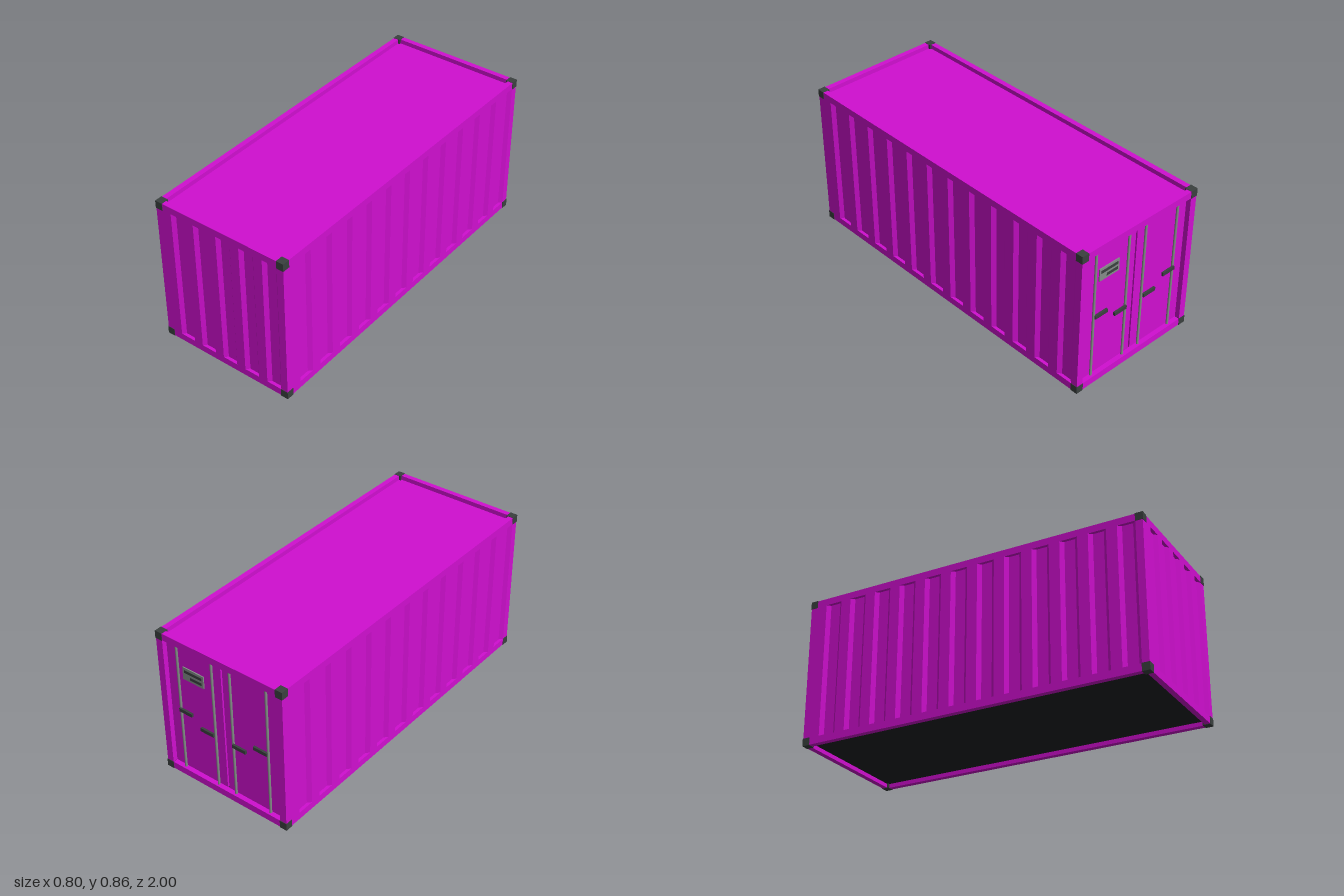
import * as THREE from 'three';

const W = 0.398, L = 0.998, H = 0.855; // half width, half length, height of the frame
const POST = 0.04, RAIL = 0.03, Y0 = 0.042, Y1 = 0.814;

export function createModel() {
  const model = new THREE.Group();
  model.name = 'shippingContainer';
  const mat = (name, color) => {
    const m = new THREE.MeshStandardMaterial({ color });
    m.name = name;
    return m;
  };
  const paint = mat('magenta paint', 0xd00fd0);
  const iron = mat('dark iron', 0x3a403f);
  const underside = mat('black floor', 0x1f2324);
  const metal = mat('grey metal', 0x858c89);

  const add = (name, geometry, material, x = 0, y = 0, z = 0) => {
    const mesh = new THREE.Mesh(geometry, material);
    mesh.name = name;
    mesh.position.set(x, y, z);
    model.add(mesh);
    return mesh;
  };
  // box given by its lowest and highest corners
  const box = (name, material, x0, x1, y0, y1, z0, z1) =>
    add(name, new THREE.BoxGeometry(x1 - x0, y1 - y0, z1 - z0), material,
      (x0 + x1) / 2, (y0 + y1) / 2, (z0 + z1) / 2);

  // corner castings and posts
  for (const sx of [-1, 1]) {
    for (const sz of [-1, 1]) {
      for (const y of [0.0215, H - 0.0215]) {
        add('cornerCasting', new THREE.BoxGeometry(0.043, 0.043, 0.043), iron,
          sx * 0.3785, y, sz * 0.9785);
      }
      add('cornerPost', new THREE.BoxGeometry(POST, H - 0.08, POST), paint,
        sx * (W - POST / 2), H / 2, sz * (L - POST / 2));
    }
  }

  // top and bottom rails
  for (const [y0, y1] of [[0.002, Y0], [Y1, H - 0.002]]) {
    for (const s of [-1, 1]) {
      add('sideRail', new THREE.BoxGeometry(RAIL, y1 - y0, 2 * L - 0.08), paint,
        s * (W - RAIL / 2), (y0 + y1) / 2, 0);
      add('endRail', new THREE.BoxGeometry(2 * W - 0.08, y1 - y0, RAIL), paint,
        0, (y0 + y1) / 2, s * (L - RAIL / 2));
    }
  }

  // sunken roof and floor
  box('roof', paint, -W + 0.02, W - 0.02, H - 0.05, H - 0.027, -L + 0.02, L - 0.02);
  box('floor', underside, -W + 0.02, W - 0.02, 0.025, 0.04, -L + 0.02, L - 0.02);

  // corrugated wall, outer face at local z = 0
  const wallGeometry = (width, count) => {
    const p = width / count, depth = 0.018, back = 0.032;
    const shape = new THREE.Shape();
    shape.moveTo(-width / 2, back);
    shape.lineTo(-width / 2, 0);
    for (let i = 0; i < count; i++) {
      const u = -width / 2 + i * p;
      shape.lineTo(u + p * 0.375, 0);
      shape.lineTo(u + p * 0.5, depth);
      shape.lineTo(u + p * 0.875, depth);
      shape.lineTo(u + p, 0);
    }
    shape.lineTo(width / 2, back);
    shape.closePath();
    return new THREE.ExtrudeGeometry(shape, { depth: Y1 - Y0, bevelEnabled: false })
      .rotateX(-Math.PI / 2);
  };
  add('frontWall', wallGeometry(2 * (W - POST), 5), paint, 0, Y0, L);
  const sideGeometry = wallGeometry(2 * (L - POST), 12);
  for (const s of [-1, 1]) {
    add('sideWall', sideGeometry, paint, s * W, Y0, 0).rotation.y = s * Math.PI / 2;
  }

  // doors at the back, with lock rods and handles
  const doorZ = -L + 0.025;
  box('doorBacking', paint, -W + POST, W - POST, Y0, Y1, doorZ + 0.012, doorZ + 0.025);
  const rod = new THREE.CylinderGeometry(0.007, 0.007, Y1 - Y0, 12);
  const handle = new THREE.BoxGeometry(0.085, 0.02, 0.012);
  for (const s of [-1, 1]) {
    add('door', new THREE.BoxGeometry(0.35, Y1 - Y0 - 0.006, 0.012), paint,
      s * 0.18, (Y0 + Y1) / 2, doorZ + 0.006);
    for (const [x, hx, hy] of [[0.284, 0.242, 0.42], [0.058, 0.104, 0.362]]) {
      add('lockRod', rod, metal, s * x, (Y0 + Y1) / 2, doorZ - 0.007);
      add('doorHandle', handle, iron, s * hx, hy, doorZ - 0.016);
    }
  }

  // data plate with plain dark bars
  box('dataPlate', metal, 0.118, 0.254, 0.617, 0.69, doorZ - 0.006, doorZ);
  box('plateBar', iron, 0.13, 0.243, 0.661, 0.677, doorZ - 0.008, doorZ - 0.005);
  box('plateBar', iron, 0.13, 0.205, 0.631, 0.647, doorZ - 0.008, doorZ - 0.005);

  return model;
}
